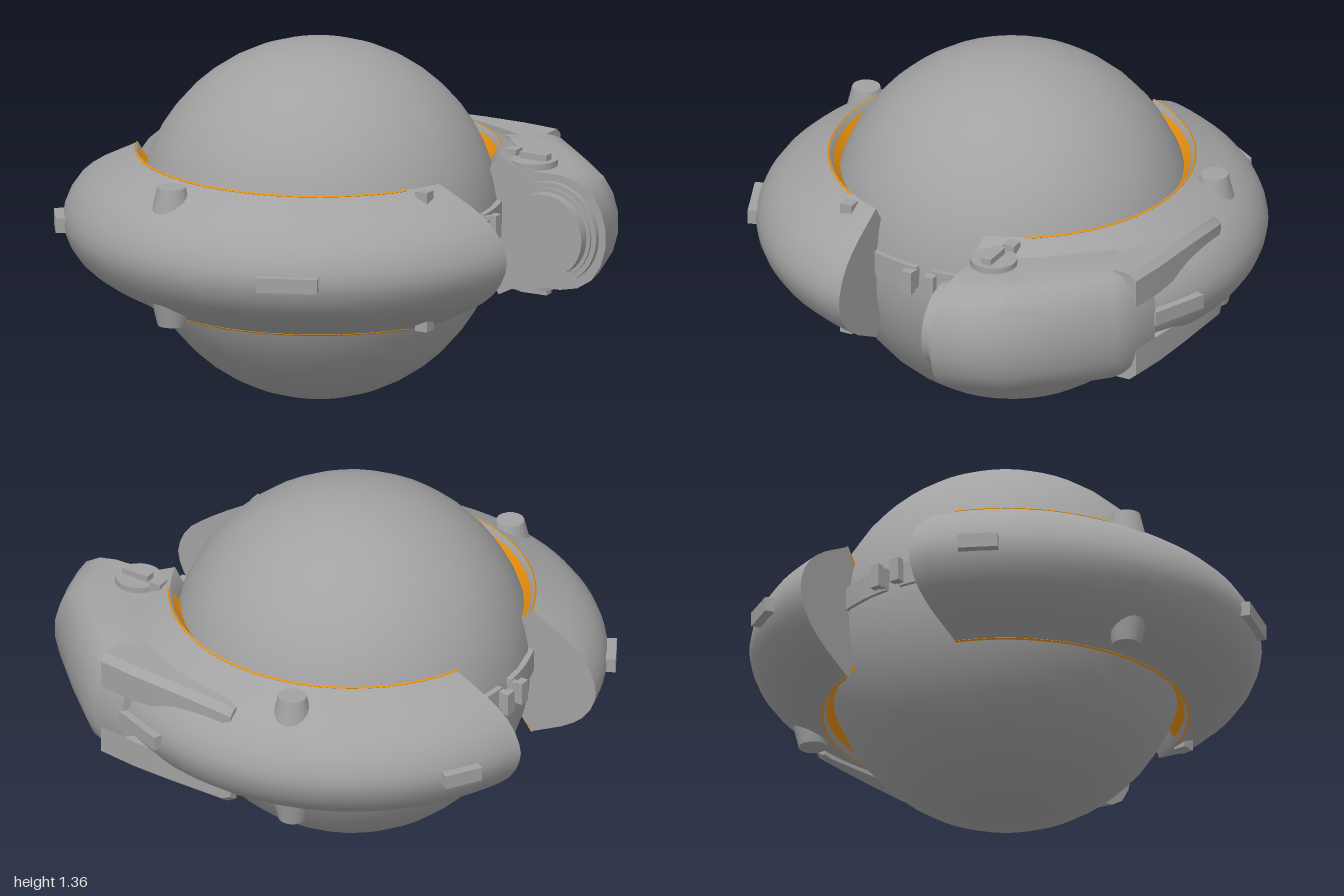
import * as THREE from 'three';
import { toCreasedNormals } from 'three/addons/utils/BufferGeometryUtils.js';

const CX = -0.09, CY = 0.685; // centre of the sphere and ring

// Closed solid through a list of equal-length loops; faces always point outward.
function loft(sections, crease = 0.6) {
  const tris = [];
  const n = sections[0].length;
  for (let i = 0; i < sections.length - 1; i++) {
    for (let j = 0; j < n; j++) {
      const k = (j + 1) % n;
      const a = sections[i][j], b = sections[i][k], c = sections[i + 1][k], d = sections[i + 1][j];
      tris.push([a, b, c], [a, c, d]);
    }
  }
  const cap = (loop, flip) => {
    const mid = loop.reduce((s, p) => s.add(p), new THREE.Vector3()).divideScalar(n);
    for (let j = 0; j < n; j++) {
      const p = loop[j], q = loop[(j + 1) % n];
      tris.push(flip ? [mid, q, p] : [mid, p, q]);
    }
  };
  cap(sections[0], true);
  cap(sections[sections.length - 1], false);
  const volume = tris.reduce((s, [a, b, c]) => s + a.dot(b.clone().cross(c)), 0);
  const flat = [];
  for (const [a, b, c] of tris) {
    for (const p of volume < 0 ? [a, c, b] : [a, b, c]) flat.push(p.x, p.y, p.z);
  }
  const g = new THREE.BufferGeometry();
  g.setAttribute('position', new THREE.Float32BufferAttribute(flat, 3));
  return toCreasedNormals(g, crease);
}

// Sweep an (r, h) profile around the sphere; side is +1 front or -1 back.
// The ends are cut along planes of constant z; start optionally overrides the first angle.
function sweep(profile, side, start, steps = 36) {
  const sections = [];
  for (let i = 0; i <= steps; i++) {
    sections.push(profile.map(([r, h]) => {
      const a0 = start ?? Math.asin(0.23 / r);
      const a1 = Math.PI - Math.asin(0.255 / r);
      const a = a0 + (a1 - a0) * i / steps;
      return new THREE.Vector3(CX + r * Math.cos(a), CY + h, side * r * Math.sin(a));
    }));
  }
  return loft(sections);
}

export function createModel() {
  const grey = new THREE.MeshStandardMaterial({ color: 0xa2a2a2 });
  grey.name = 'grey metal';
  const orange = new THREE.MeshStandardMaterial({ color: 0xe58e0e });
  orange.name = 'orange trim';

  const model = new THREE.Group();
  const add = (name, geometry, x = 0, y = 0, z = 0, material = grey) => {
    const m = new THREE.Mesh(geometry, material);
    m.name = name;
    m.position.set(x, y, z);
    model.add(m);
    return m;
  };
  const box = (w, h, d) => new THREE.BoxGeometry(w, h, d);

  add('sphereBody', new THREE.SphereGeometry(0.68, 36, 24), CX, CY, 0);

  // Bulging ring halves with orange inner lips
  const upper = [[0.68, 0.27], [0.745, 0.235], [0.81, 0.2], [0.86, 0.166], [0.9, 0.13], [0.932, 0.085], [0.95, 0.04]];
  const mirrored = (pts) => pts.map(([r, h]) => [r, -h]).reverse();
  const ringProfile = [[0.645, 0.215], ...upper, [0.957, 0], ...mirrored(upper), [0.645, -0.215]];
  const lip = [[0.684, 0.272], [0.64, 0.215], [0.65, 0.205], [0.689, 0.267]];
  for (const side of [1, -1]) {
    const label = side > 0 ? 'front' : 'back';
    add(label + 'RingHalf', sweep(ringProfile, side));
    add(label + 'UpperLip', sweep(lip, side, 0.57), 0, 0, 0, orange);
    add(label + 'LowerLip', sweep(mirrored(lip), side, 0.57), 0, 0, 0, orange);

    // Tangent plates on the outer rim
    for (const [angle, length, radius] of [[1.19, 0.23, 0.951], [2.59, 0.15, 0.957]]) {
      const plate = add(label + 'RimPlate', box(0.06, 0.056, length),
        CX + radius * Math.cos(angle), CY, side * radius * Math.sin(angle));
      plate.rotation.y = -side * angle;
    }

    // Studs and small blocks above and below the ring
    for (const up of [1, -1]) {
      const stud = add(label + 'Stud', new THREE.CylinderGeometry(0.053, 0.077, 0.1, 16), -0.31, CY + up * 0.217, side * 0.74);
      if (up < 0) stud.rotation.x = Math.PI;
      add(label + 'RingBlock', box(0.05, 0.05, 0.05), 0.55, CY + up * 0.245, side * 0.345);
    }

    // Bands bridging the gaps, each ending in a clip
    for (const dir of [1, -1]) {
      const shape = new THREE.Shape();
      const a0 = 0.045, a1 = 0.42;
      shape.absarc(0, 0, 0.693, a0, a1, false);
      shape.absarc(0, 0, 0.66, a1, a0, true);
      const band = new THREE.ExtrudeGeometry(shape, { depth: 0.09, bevelEnabled: false, curveSegments: 8 });
      band.rotateX(Math.PI / 2);
      // Turn the arc into the quadrant it belongs to
      const turn = { '1,1': 0, '1,-1': a0 + a1, '-1,1': Math.PI + a0 + a1, '-1,-1': Math.PI }[dir + ',' + side];
      band.rotateY(turn);
      add(label + 'Band', band, CX, 0.78, 0);
      add(label + 'ClipStem', box(0.08, 0.075, 0.025), CX + dir * 0.7, 0.735, side * 0.04);
      add(label + 'ClipHead', box(0.03, 0.09, 0.042), CX + dir * 0.727, 0.735, side * 0.046);
    }
  }

  // Side pod wrapped around the back right of the ring
  const podHalf = [[0, 1], [0.3, 1], [0.55, 1], [0.72, 0.93], [0.86, 0.76], [0.95, 0.5], [1, 0.17]];
  const podLoop = [...podHalf, ...podHalf.map(([u, v]) => [u, -v]).reverse()];
  // Each station: inner x, z, outer x, z, half height
  const stations = [
    [0.57, -0.24, 0.997, -0.245, 0.222],
    [0.55, -0.35, 0.965, -0.36, 0.224],
    [0.5, -0.45, 0.925, -0.475, 0.225],
    [0.44, -0.54, 0.75, -0.65, 0.225],
    [0.38, -0.62, 0.575, -0.81, 0.224],
    [0.33, -0.66, 0.51, -0.842, 0.215],
    [0.25, -0.7, 0.37, -0.86, 0.19],
  ];
  add('sidePod', loft(stations.map(([ix, iz, ox, oz, h]) => podLoop.map(([u, v]) =>
    new THREE.Vector3(ix + (ox - ix) * u, CY + h * v, iz + (oz - iz) * u)))));

  // Two prongs reaching back from the pod; station: x, inner z, outer z, low, high
  const prongs = [
    [0.48, -0.62, -0.838, 0.08, 0.222],
    [0.33, -0.70, -0.858, 0.09, 0.222],
    [0.16, -0.775, -0.868, 0.1, 0.22],
    [-0.09, -0.82, -0.882, 0.12, 0.212],
    [-0.12, -0.83, -0.872, 0.13, 0.2],
  ];
  for (const up of [1, -1]) {
    add(up > 0 ? 'upperProng' : 'lowerProng', loft(prongs.map(([x, zi, zo, lo, hi]) => [
      [hi, zi], [hi, zo + 0.03], [hi - 0.025, zo], [lo, zo], [lo, zi],
    ].map(([h, z]) => new THREE.Vector3(x, CY + up * h, z)))));

    // Hinge disc with a raised key
    add('hingeDisc', new THREE.CylinderGeometry(0.088, 0.088, 0.05, 24), 0.65, CY + up * 0.222, -0.325);
    add('hingeKey', box(0.115, 0.03, 0.04), 0.655, CY + up * 0.256, -0.325);
  }

  // Stepped round cap on the open end of the pod
  for (const [r, z0, z1] of [[0.195, -0.26, -0.222], [0.175, -0.24, -0.212], [0.16, -0.24, -0.172]]) {
    const disc = new THREE.CylinderGeometry(r, r, z1 - z0, 32);
    disc.rotateX(Math.PI / 2);
    add('podCap', disc, 0.775, CY, (z0 + z1) / 2);
  }

  return model;
}
